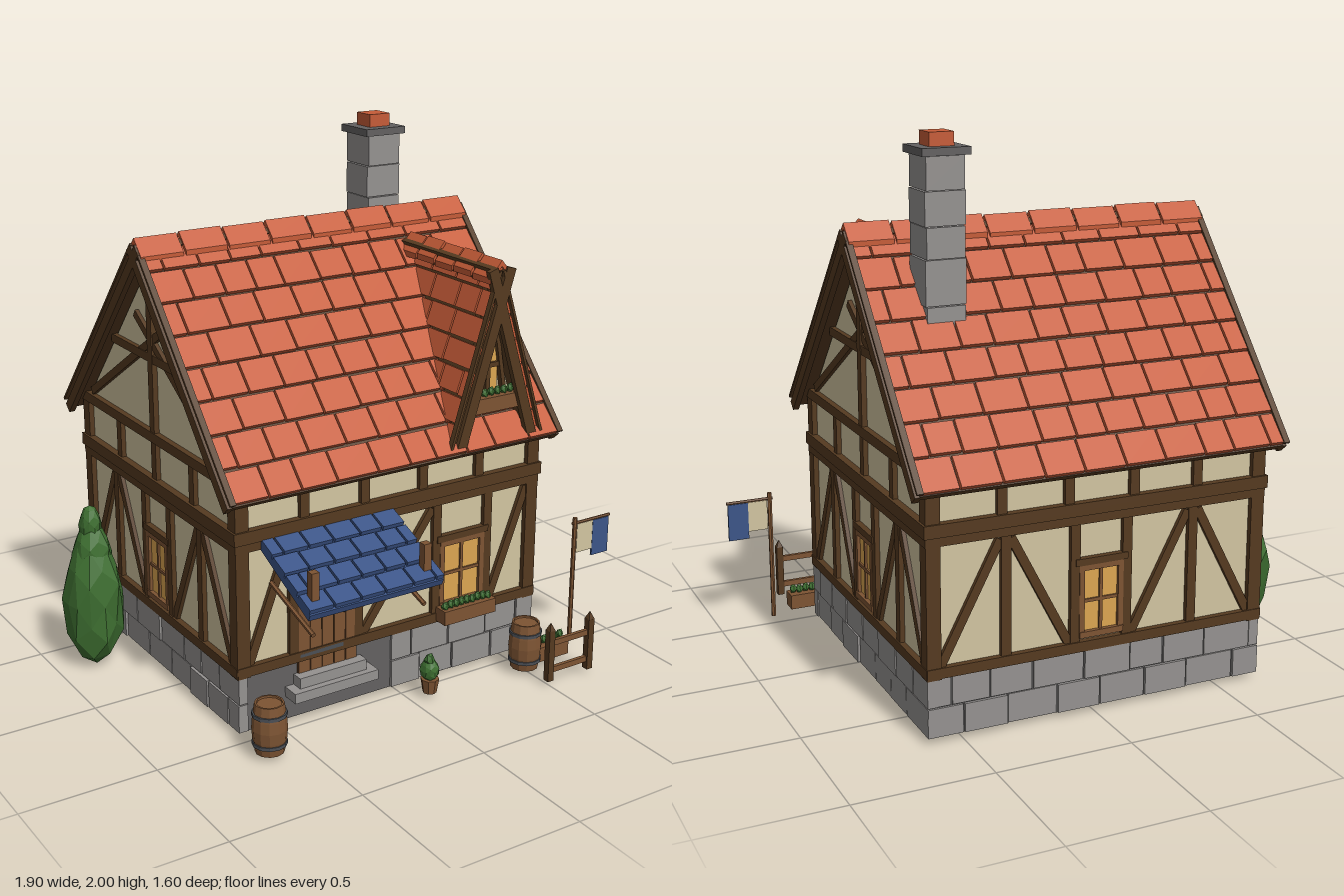
import * as THREE from 'three';
import { mergeGeometries } from 'three/addons/utils/BufferGeometryUtils.js';

const mat = (name, color) => Object.assign(new THREE.MeshStandardMaterial({ color }), { name });
const M = {
  tile: mat('terracotta', 0xc65c38), timber: mat('dark timber', 0x553a20), plaster: mat('cream plaster', 0xd2c5a1),
  stone: mat('stone', 0x959290), dark: mat('dark stone', 0x636161), blue: mat('blue', 0x3c5588),
  wood: mat('wood', 0x7d5433), glass: mat('lit glass', 0xdca652), leaf: mat('leaf green', 0x3e6f31), metal: mat('iron', 0x4b4f55),
};
let seed = 7;
const rnd = () => (seed = (seed * 16807) % 2147483647) / 2147483647;

// Merges geometries into one flat-shaded named mesh
function add(parent, name, material, ...geos) {
  const flat = geos.flat().map(g => (g.index ? g.toNonIndexed() : g));
  const geo = mergeGeometries(flat);
  geo.computeVertexNormals();
  const mesh = new THREE.Mesh(geo, material);
  mesh.name = name;
  parent.add(mesh);
  return mesh;
}
function group(parent, name, x = 0, y = 0, z = 0, rx = 0, ry = 0) {
  const g = new THREE.Group();
  g.name = name;
  g.position.set(x, y, z);
  g.rotation.set(rx, ry, 0, 'YXZ');
  parent.add(g);
  return g;
}
// Box given by its limits on each axis
const box = (x0, x1, y0, y1, z0, z1) => new THREE.BoxGeometry(x1 - x0, y1 - y0, z1 - z0)
  .translate((x0 + x1) / 2, (y0 + y1) / 2, (z0 + z1) / 2);
// Beam between two points in the plane of a wall, its outer face at depth z
function beam(x0, y0, x1, y1, w, z, t = 0.04) {
  return new THREE.BoxGeometry(Math.hypot(x1 - x0, y1 - y0), w, t).rotateZ(Math.atan2(y1 - y0, x1 - x0))
    .translate((x0 + x1) / 2, (y0 + y1) / 2, z - t / 2);
}
// Round bar between two points
function bar(a, b, r, sides = 6) {
  const A = new THREE.Vector3(...a), d = new THREE.Vector3(...b).sub(A);
  const q = new THREE.Quaternion().setFromUnitVectors(new THREE.Vector3(0, 1, 0), d.clone().normalize());
  return new THREE.CylinderGeometry(r, r, d.length(), sides).applyQuaternion(q).translate(...A.addScaledVector(d, 0.5).toArray());
}
function blob(x, y, z, r, h, detail = 0) {
  const g = new THREE.IcosahedronGeometry(1, detail), p = g.attributes.position;
  for (let i = 0; i < p.count; i++) {
    const k = 0.94 + 0.1 * Math.sin(p.getX(i) * 7 + p.getY(i) * 3 + p.getZ(i) * 11);
    p.setXYZ(i, p.getX(i) * k, p.getY(i), p.getZ(i) * k);
  }
  return g.scale(r, h, r).translate(x, y, z);
}

// Roof slope: local x runs along the eave, z down the slope; range(v) gives the limits of a row
function slope(g, rows, len, range, material, under, tileW) {
  const tiles = [], boards = [], step = len / rows;
  for (let r = 0; r < rows; r++) {
    const [a, b] = range((r + 0.5) * step);
    if (b - a < 0.02) continue;
    boards.push(box(a + 0.004, b - 0.004, -0.042, -0.016, r * step, (r + 1) * step));
    let x = a;
    const first = r % 2 ? tileW : tileW * 0.5;
    for (let n = 0; x < b - 0.005; n++) {
      let e = x + (n ? tileW * (0.8 + 0.4 * rnd()) : first);
      if (e > b - tileW * 0.35) e = b;
      const l = step - 0.01 + (rnd() - 0.5) * 0.008;
      tiles.push(new THREE.BoxGeometry(e - x - 0.008, 0.018, l).rotateX(-0.05)
        .translate((x + e) / 2, -0.01, (r + 0.5) * step));
      x = e;
    }
  }
  add(g, 'roofTiles', material, tiles);
  add(g, 'roofBoards', under, boards);
}
// Dark boards around the tile ends of a gable edge
const barge = (x0, x1, len) => [box(x0, x1, -0.062, -0.022, 0, len), box(x0, x1, -0.004, 0.006, 0.02, len)];
// Row of folded ridge caps along z
function ridge(parent, name, z0, z1, n, half, drop) {
  const s = new THREE.Shape([[-half, -drop], [0, 0], [half, -drop], [half, -drop - 0.022], [0, -0.022], [-half, -drop - 0.022]]
    .map(p => new THREE.Vector2(...p)).reverse());
  const d = (z1 - z0) / n;
  return add(parent, name, M.tile, Array.from({ length: n }, (_, i) =>
    new THREE.ExtrudeGeometry(s, { depth: d - 0.01, bevelEnabled: false }).translate(0, (i % 2) * 0.004, z0 + i * d + 0.005)));
}

function windowAt(g, u, y0, y1, half, z) {
  const w = group(g, 'window', u, 0, z);
  add(w, 'windowGlass', M.glass, box(-half, half, y0, y1, -0.03, -0.012));
  add(w, 'windowFrame', M.wood, box(-half, half, y0, y0 + 0.022, -0.03, 0.004), box(-half, half, y1 - 0.02, y1, -0.03, 0),
    [-1, 1].map(s => box(s * (half - 0.01) - 0.01, s * (half - 0.01) + 0.01, y0, y1, -0.03, 0)),
    box(-0.006, 0.006, y0, y1, -0.03, -0.004), box(-half, half, (y0 + y1) / 2 - 0.006, (y0 + y1) / 2 + 0.006, -0.03, -0.005));
  add(w, 'windowLintel', M.timber, box(-half - 0.015, half + 0.015, y1, y1 + 0.025, -0.03, 0.003));
}
function plants(g, x0, x1, y, z, n) {
  add(g, 'plants', M.leaf, Array.from({ length: n }, (_, i) =>
    blob(x0 + (x1 - x0) * (i + 0.5) / n, y + rnd() * 0.01, z, 0.016, 0.02)));
}

// Timber wall with stone footing; local x along the wall, z outwards
function facade(house, name, yaw, H, D, posts, braces, bays, stoneFrom) {
  const g = group(house, name, -0.02, 0, -0.13, 0, yaw), t = [];
  for (const s of [-1, 1]) t.push(box(s * (H - 0.026) - 0.026, s * (H - 0.026) + 0.026, 0.23, 0.94, D - 0.04, D));
  for (const u of posts) t.push(box(u - 0.018, u + 0.018, 0.25, 0.71, D - 0.04, D - 0.002));
  for (const b of braces) t.push(beam(...b, 0.032, D - 0.005));
  for (let i = 1; i < bays; i++) {
    const u = (H - 0.026) * (2 * i / bays - 1);
    t.push(box(u - 0.018, u + 0.018, 0.76, 0.94, D - 0.04, D - 0.002));
  }
  t.push(box(-H, H, 0.235, 0.272, D - 0.04, D + 0.003), box(-H, H, 0.70, 0.732, D - 0.04, D + 0.002),
    box(-H - 0.008, H + 0.008, 0.732, 0.778, D - 0.04, D + 0.008), box(-H, H, 0.92, 0.958, D - 0.04, D + 0.003));
  add(g, 'timberFrame', M.timber, t);
  const stones = [];
  for (let r = 0; r < 2; r++) {
    for (let x = stoneFrom, n = 0; x < H - 0.005; n++) {
      let e = x + (n || !r ? 0.13 + rnd() * 0.07 : 0.09);
      if (e > H - 0.07) e = H;
      stones.push(box(x + 0.003, e - 0.003, 0.023 + r * 0.108, 0.127 + r * 0.108, D - 0.04, D - 0.008 + rnd() * 0.01));
      x = e;
    }
  }
  add(g, 'stoneBlocks', M.stone, stones);
  return g;
}

function barrel(parent, x, z) {
  const g = group(parent, 'barrel', x, 0.02, z);
  const pts = [[0, 0], [0.052, 0], [0.06, 0.05], [0.063, 0.09], [0.06, 0.13], [0.052, 0.185], [0.045, 0.185], [0.044, 0.178], [0, 0.178]];
  add(g, 'barrelStaves', M.wood, new THREE.LatheGeometry(pts.map(p => new THREE.Vector2(...p)), 12));
  add(g, 'barrelHoops', M.metal, [0.035, 0.145].map(y => new THREE.CylinderGeometry(0.0625, 0.0625, 0.013, 12).translate(0, y, 0)));
}

export function createModel() {
  const root = new THREE.Group();
  root.name = 'cottage';

  // Walls and footing
  const body = new THREE.Shape([[-0.585, 0.2], [0.585, 0.2], [0.585, 0.93], [0, 1.595], [-0.585, 0.93]].map(p => new THREE.Vector2(...p)));
  add(root, 'walls', M.plaster, new THREE.ExtrudeGeometry(body, { depth: 1.26, bevelEnabled: false })
    .rotateY(Math.PI / 2).translate(-0.65, 0, -0.13));
  add(root, 'footing', M.dark, box(-0.66, 0.62, 0.02, 0.238, -0.725, 0.465));
  const front = facade(root, 'frontWall', 0, 0.65, 0.605, [-0.42, -0.15, 0.19, 0.42],
    [[-0.6, 0.27, -0.44, 0.69], [-0.13, 0.27, 0.17, 0.69], [0.44, 0.27, 0.6, 0.69]], 5, -0.01);
  windowAt(front, 0.305, 0.285, 0.55, 0.1, 0.605);
  const mirrored = (p, q, H) => [-1, 1].flatMap(s => [[s * (p - 0.02), 0.69, s * (q + 0.02), 0.27], [s * (p + 0.02), 0.69, s * (H - 0.05), 0.27]]);
  const back = facade(root, 'backWall', Math.PI, 0.65, 0.605, [-0.36, -0.1, 0.1, 0.36], mirrored(0.36, 0.1, 0.65), 5, -0.65);
  windowAt(back, 0, 0.285, 0.55, 0.085, 0.605);
  for (const s of [1, -1]) {
    const g = facade(root, s > 0 ? 'leftWall' : 'rightWall', s * Math.PI / 2, 0.605, 0.65,
      [-0.335, -0.1, 0.1, 0.335], mirrored(0.335, 0.1, 0.605), 4, -0.605);
    windowAt(g, 0, 0.285, 0.55, 0.085, 0.65);
    add(g, 'gableFrame', M.timber, box(-0.018, 0.018, 0.95, 1.56, 0.61, 0.65), box(-0.32, 0.32, 1.22, 1.252, 0.61, 0.648),
      [-1, 1].map(m => beam(m * -0.53, 0.97, m * 0.125, 1.375, 0.03, 0.645)));
  }

  // Main roof
  const A = Math.atan2(0.76, 0.67), L = 1.013;
  for (const yaw of [0, Math.PI]) {
    const g = group(root, yaw ? 'backRoof' : 'frontRoof', -0.02, 1.668, -0.13, A, yaw);
    slope(g, 8, L, () => [-0.69, 0.69], M.tile, M.timber, 0.14);
    add(g, 'bargeBoards', M.timber, barge(-0.703, -0.68, L), barge(0.68, 0.703, L));
  }
  const cap = ridge(root, 'ridgeCaps', -0.7, 0.7, 8, 0.055, 0.058);
  cap.rotation.y = Math.PI / 2;
  cap.position.set(-0.02, 1.678, -0.13);

  // Dormer, its rows running back into the main roof
  const dormer = group(root, 'dormer', 0.39, 0, 0);
  const B = Math.atan2(0.66, 0.205), DL = 0.688;
  for (const s of [1, -1]) {
    const g = group(dormer, 'dormerRoof', 0, 1.572, 0, B, s * Math.PI / 2);
    slope(g, 7, DL, v => {
      const zr = -0.13 + (1.67 - 1.572 + v * Math.sin(B)) / 1.134 - 0.04;
      return s > 0 ? [-0.515, -zr] : [zr, 0.515];
    }, M.tile, M.timber, 0.13);
    add(g, 'dormerBarge', M.timber, s > 0 ? barge(-0.527, -0.505, DL) : barge(0.505, 0.527, DL));
  }
  ridge(dormer, 'dormerRidgeCaps', -0.04, 0.525, 5, 0.05, 0.06).position.y = 1.59;
  const tri = new THREE.Shape([[-0.17, 0.93], [0.17, 0.93], [0, 1.5]].map(p => new THREE.Vector2(...p)));
  add(dormer, 'dormerWall', M.plaster, new THREE.ExtrudeGeometry(tri, { depth: 0.03, bevelEnabled: false }).translate(0, 0, 0.41));
  add(dormer, 'dormerGlass', M.glass, box(-0.05, 0.05, 1.08, 1.32, 0.43, 0.448));
  add(dormer, 'dormerFrame', M.timber, box(-0.009, 0.009, 1.08, 1.5, 0.43, 0.462), box(-0.06, 0.06, 1.315, 1.338, 0.43, 0.465),
    box(-0.055, 0.055, 1.18, 1.198, 0.43, 0.46),
    [-1, 1].flatMap(s => [beam(s * 0.085, 1.03, s * 0.02, 1.4, 0.016, 0.463, 0.03), beam(s * 0.15, 0.98, s * 0.008, 1.48, 0.02, 0.466, 0.03)]));
  add(dormer, 'dormerFlowerBox', M.wood, box(-0.105, 0.105, 1.03, 1.085, 0.45, 0.51));
  plants(dormer, -0.1, 0.1, 1.092, 0.48, 7);

  // Chimney
  const ch = group(root, 'chimney', 0.405, 0, -0.318);
  add(ch, 'chimneyStones', M.stone, [1.26, 1.42, 1.58, 1.69, 1.81].map((y, i, a) => {
    const o = (i % 2) * 0.004;
    return box(-0.07 - o, 0.07 + o, y, (a[i + 1] ?? 1.926) - 0.003, -0.076 + o, 0.076 - o);
  }));
  add(ch, 'chimneyCap', M.dark, box(-0.088, 0.088, 1.925, 1.952, -0.088, 0.088));
  add(ch, 'chimneyPot', M.tile, box(-0.045, 0.045, 1.95, 2, -0.045, 0.045));

  // Door and steps
  const door = group(root, 'door', -0.3, 0, 0.455);
  add(door, 'doorPlanks', M.wood, [0, 1, 2, 3, 4].map(i => box(-0.123 + i * 0.0495, -0.077 + i * 0.0495, 0.185, 0.56, 0, 0.018)));
  add(door, 'doorGaps', M.timber, box(-0.125, 0.125, 0.185, 0.56, 0, 0.012), box(-0.15, 0.15, 0.56, 0.59, 0, 0.022));
  add(door, 'doorIron', M.metal, box(-0.12, 0.06, 0.5, 0.515, 0.015, 0.023), box(-0.12, 0.06, 0.25, 0.265, 0.015, 0.023), blob(0.065, 0.395, 0.026, 0.01, 0.014));
  add(root, 'steps', M.stone, box(-0.475, -0.125, 0.11, 0.148, 0.44, 0.535), box(-0.44, -0.16, 0.148, 0.188, 0.44, 0.51));

  // Awning with pegs and struts
  const aw = group(root, 'awning', -0.3025, 0.742, 0.475, Math.atan2(0.145, 0.32));
  slope(aw, 4, 0.355, () => [-0.273, 0.273], M.blue, M.blue, 0.1);
  for (const x of [-0.53, -0.08]) {
    add(root, 'awningPost', M.wood, box(x - 0.015, x + 0.015, 0.57, 0.71, 0.73, 0.76));
    add(root, 'awningStrut', M.wood, bar([x, 0.48, 0.745], [x, 0.565, 0.47], 0.009));
  }

  // Lantern
  const lan = group(root, 'lantern', -0.055, 0, 0.55);
  add(lan, 'lanternIron', M.metal, bar([0, 0.6, -0.09], [0, 0.6, 0.01], 0.006), bar([0, 0.54, -0.08], [0, 0.6, -0.02], 0.005),
    bar([0, 0.57, 0], [0, 0.6, 0], 0.004), new THREE.CylinderGeometry(0.006, 0.026, 0.022, 6).translate(0, 0.573, 0), box(-0.018, 0.018, 0.51, 0.517, -0.018, 0.018));
  add(lan, 'lanternGlass', M.glass, new THREE.CylinderGeometry(0.021, 0.015, 0.046, 6).translate(0, 0.54, 0));

  // Window box and ground planter
  add(root, 'windowBox', M.wood, box(0.168, 0.402, 0.243, 0.298, 0.476, 0.535));
  plants(root, 0.175, 0.395, 0.305, 0.508, 9);
  add(root, 'planter', M.wood, box(0.56, 0.7, 0.022, 0.08, 0.55, 0.615));
  plants(root, 0.565, 0.695, 0.088, 0.582, 5);

  // Barrels and potted shrub
  barrel(root, -0.63, 0.62);
  barrel(root, 0.497, 0.6);
  add(root, 'pot', M.wood, new THREE.CylinderGeometry(0.035, 0.026, 0.055, 8).translate(0.075, 0.048, 0.575));
  add(root, 'shrub', M.leaf, blob(0.075, 0.11, 0.575, 0.038, 0.042, 1), blob(0.072, 0.15, 0.575, 0.022, 0.028));

  // Fence
  for (const x of [0.5, 0.688]) {
    add(root, 'fencePost', M.timber, box(x - 0.013, x + 0.013, 0.02, 0.225, 0.727, 0.753),
      new THREE.ConeGeometry(0.018, 0.03, 4).rotateY(Math.PI / 4).translate(x, 0.24, 0.74));
  }
  add(root, 'fenceRails', M.wood, [0.062, 0.172].map(y => box(0.49, 0.7, y - 0.011, y + 0.011, 0.733, 0.747)));

  // Flag
  add(root, 'flagPole', M.wood, bar([0.782, 0.02, 0.525], [0.782, 0.535, 0.525], 0.009), bar([0.77, 0.512, 0.525], [0.955, 0.512, 0.525], 0.006));
  add(root, 'flagCream', M.plaster, box(0.793, 0.87, 0.388, 0.506, 0.522, 0.528));
  add(root, 'flagBlue', M.blue, box(0.87, 0.95, 0.36, 0.506, 0.521, 0.529));

  // Tree
  add(root, 'tree', M.leaf, blob(-0.845, 0.27, -0.32, 0.12, 0.27, 1), blob(-0.842, 0.45, -0.32, 0.078, 0.13, 1), blob(-0.845, 0.57, -0.32, 0.045, 0.078, 1));
  return root;
}
